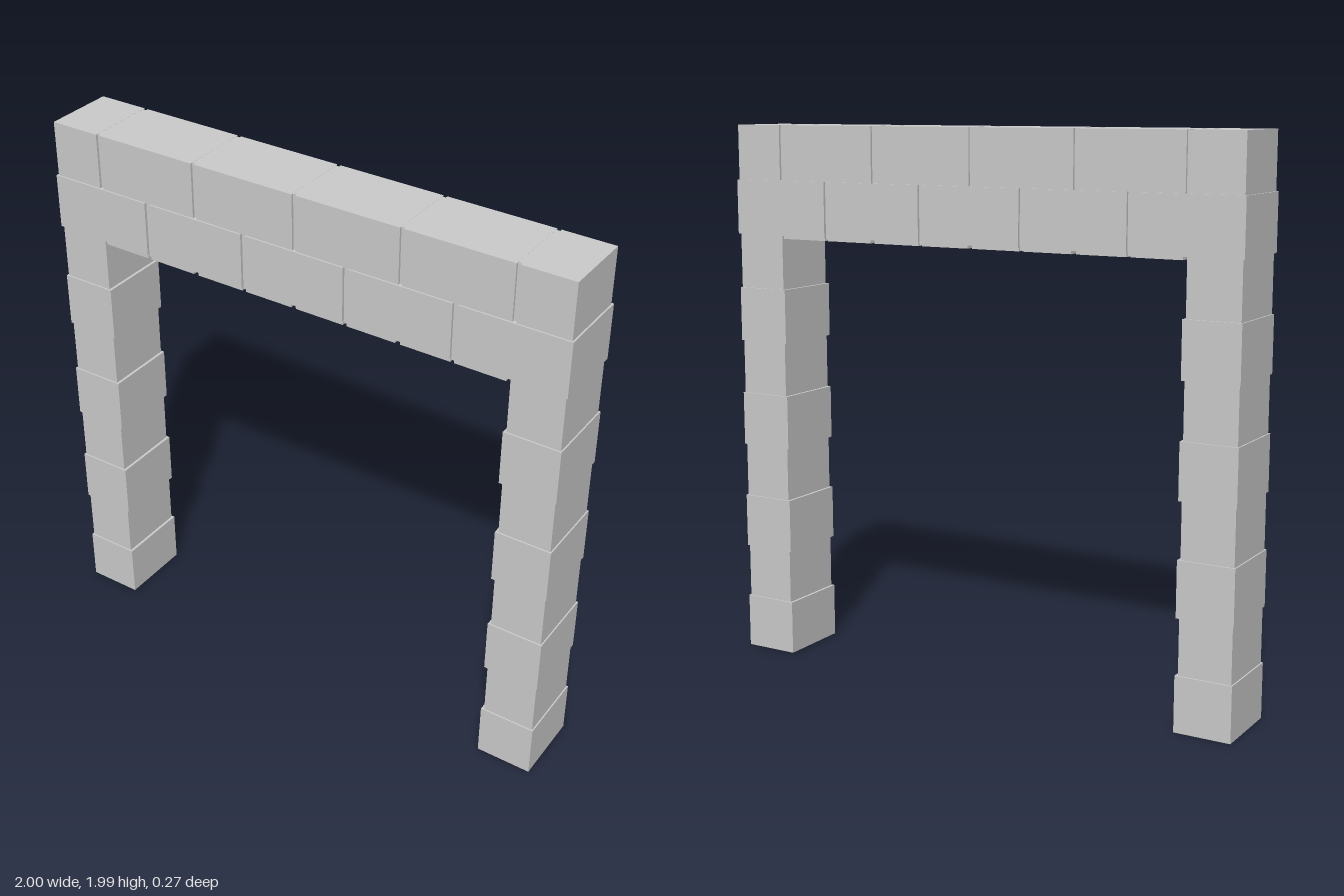
import * as THREE from 'three';

const material = new THREE.MeshStandardMaterial({ color: 0xcccccc, flatShading: true });
const COURSE = 0.199; // height of one course of blocks
const WIDE = 0.137;   // half depth of the projecting courses
const SLIM = 0.131;   // half depth of the recessed courses

// Box given by its extents in x and y and its half depth in z
function block(parent, name, x0, x1, y0, y1, halfDepth) {
  const mesh = new THREE.Mesh(new THREE.BoxGeometry(x1 - x0, y1 - y0, halfDepth * 2), material);
  mesh.position.set((x0 + x1) / 2, (y0 + y1) / 2, 0);
  mesh.name = name;
  parent.add(mesh);
}

// Row of blocks between two ends, parted by narrow joints
function row(parent, name, x0, x1, joints, gap, y0, y1, halfDepth) {
  const edges = [x0, ...joints.flatMap((j) => [j - gap / 2, j + gap / 2]), x1];
  for (let i = 0; i < edges.length; i += 2) {
    block(parent, name, edges[i], edges[i + 1], y0, y1, halfDepth);
  }
}

export function createModel() {
  const model = new THREE.Group();
  model.name = 'stoneGateway';

  // Pillars: alternating projecting and recessed blocks
  for (const side of [-1, 1]) {
    const pillar = new THREE.Group();
    pillar.name = side < 0 ? 'rightPillar' : 'leftPillar';
    for (let i = 0; i < 8; i++) {
      const wide = i % 2 === 0;
      const inner = side * (wide ? 0.793 : 0.803);
      const outer = side * (wide ? 0.998 : 0.993);
      block(pillar, 'pillarBlock', Math.min(inner, outer), Math.max(inner, outer),
        i * COURSE, (i + 1) * COURSE, wide ? WIDE : SLIM);
    }
    model.add(pillar);
  }

  const lintel = new THREE.Group();
  lintel.name = 'lintel';
  const y0 = 8 * COURSE, y1 = 9 * COURSE, y2 = 10 * COURSE;
  const evenJoints = [-0.6, -0.2, 0.2, 0.6];
  const oddJoints = [-0.8, -0.4, 0, 0.4, 0.8];

  // Lower course, with a core showing in its joints
  row(lintel, 'lowerLintelBlock', -1, 1, evenJoints, 0.018, y0, y1, WIDE);
  block(lintel, 'lowerLintelCore', -0.98, 0.98, y0 + 0.001, y1, 0.127);

  // Upper course, joints staggered by half a block
  row(lintel, 'upperLintelBlock', -0.994, 0.994, oddJoints, 0.014, y1, y2, SLIM);
  block(lintel, 'upperLintelCore', -0.98, 0.98, y1, y2 - 0.0005, 0.122);

  // Underside of the span: thin slabs with grooves
  for (const x of [-0.6, -0.2, 0.2, 0.6]) {
    row(lintel, 'soffitSlab', x - 0.191, x + 0.191, [x], 0.014, 1.581, y0, 0.136);
    block(lintel, 'soffitGroove', x - 0.01, x + 0.01, 1.584, y0, 0.127);
  }
  model.add(lintel);
  return model;
}
